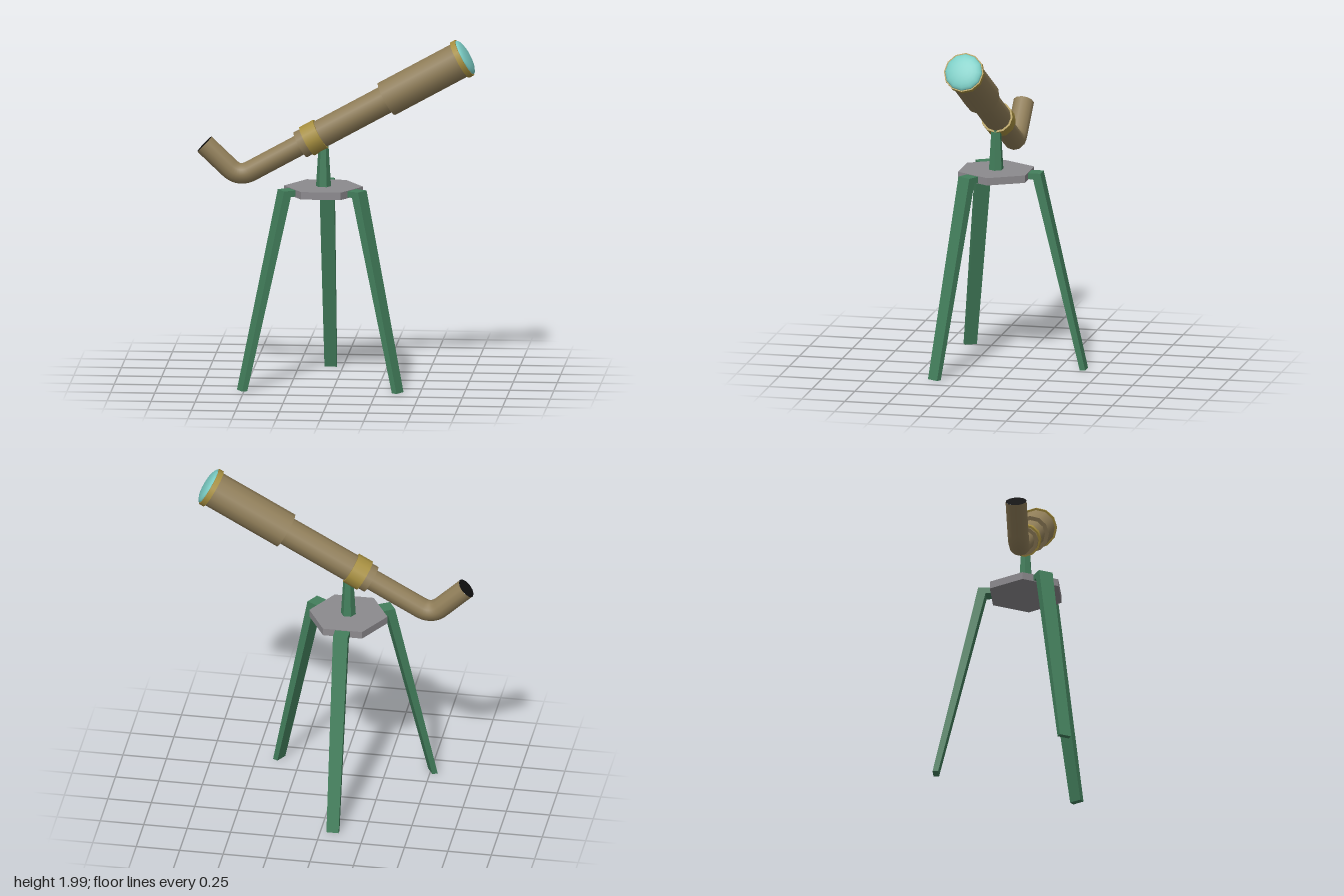
import * as THREE from 'three';

const paint = (name, color) => {
  const m = new THREE.MeshStandardMaterial({ color });
  m.name = name;
  return m;
};

// Hard-edged version of a geometry
function faceted(geometry) {
  const g = geometry.index ? geometry.toNonIndexed() : geometry;
  g.computeVertexNormals();
  return g;
}

export function createModel() {
  const brown = paint('brown', 0x8f7d58);
  const brass = paint('brass', 0xa89040);
  const green = paint('green', 0x437f5c);
  const grey = paint('grey', 0x8c8a8e);
  const teal = paint('teal', 0x7accc4);
  const black = paint('black', 0x101010);

  const model = new THREE.Group();
  model.name = 'telescope';
  const add = (parent, name, geometry, material) => {
    const mesh = new THREE.Mesh(geometry, material);
    mesh.name = name;
    parent.add(mesh);
    return mesh;
  };

  // Tripod, centred under the tube
  const tripod = new THREE.Group();
  tripod.name = 'tripod';
  tripod.position.set(-0.07, 0, 0.12);
  model.add(tripod);

  const hexagon = (top, bottom, height) =>
    faceted(new THREE.CylinderGeometry(top, bottom, height, 6, 1, false, Math.PI / 2));
  add(tripod, 'plate', hexagon(0.225, 0.225, 0.043), grey).position.y = 1.1165;
  add(tripod, 'post', hexagon(0.027, 0.043, 0.26), green).position.y = 1.265;

  // Leg: bent side profile, extruded and narrowed toward the foot
  const profile = new THREE.Shape([
    [0.17, 1.1], [0.225, 1.1], [0.495, 0], [0.527, 0], [0.267, 1.135], [0.17, 1.135],
  ].map(([r, y]) => new THREE.Vector2(r, y)));
  const leg = new THREE.ExtrudeGeometry(profile, { depth: 1, bevelEnabled: false });
  const p = leg.attributes.position;
  for (let i = 0; i < p.count; i++) {
    p.setZ(i, (p.getZ(i) - 0.5) * (0.07 + 0.015 * p.getY(i) / 1.135));
  }
  const legGeometry = faceted(leg);
  [['leftLeg', 30], ['rightLeg', 150], ['backLeg', 270]].forEach(([name, degrees]) => {
    add(tripod, name, legGeometry, green).rotation.y = -THREE.MathUtils.degToRad(degrees);
  });

  // Straight tube: local +y runs toward the lens
  const tilt = THREE.MathUtils.degToRad(29);
  const tube = new THREE.Group();
  tube.name = 'tube';
  tube.position.set(0.725, 1.888, 0.12);
  tube.rotation.z = tilt - Math.PI / 2;
  model.add(tube);

  const section = (name, radius, from, to, material) => {
    add(tube, name, new THREE.CylinderGeometry(radius, radius, to - from, 12), material)
      .position.y = (from + to) / 2;
  };
  section('mainTube', 0.081, -1.06, -0.49, brown);
  section('frontTube', 0.104, -0.5, -0.02, brown);
  section('clampRing', 0.092, -1.017, -0.927, brass);
  section('lensRim', 0.115, -0.023, 0.008, brass);

  const dome = new THREE.SphereGeometry(0.108, 12, 6, 0, Math.PI * 2, 0, Math.PI / 2);
  dome.scale(1, 0.28, 1);
  add(tube, 'lens', dome, teal).position.y = 0.0085;

  // Eyepiece: thinner pipe with a rounded elbow
  const end = new THREE.Vector3(-0.748, 1.37, 0.12);
  const corner = new THREE.Vector3(-0.55, 1.182, 0.12);
  const axis = new THREE.Vector3(Math.cos(tilt), Math.sin(tilt), 0);
  const back = end.clone().sub(corner).normalize();
  const bendIn = corner.clone().addScaledVector(back, 0.075);
  const bendOut = corner.clone().addScaledVector(axis, 0.075);
  const path = new THREE.CurvePath();
  path.add(new THREE.LineCurve3(end, bendIn));
  path.add(new THREE.QuadraticBezierCurve3(bendIn, corner, bendOut));
  path.add(new THREE.LineCurve3(bendOut, corner.clone().addScaledVector(axis, 0.46)));
  add(model, 'eyepiece', new THREE.TubeGeometry(path, 40, 0.06, 12), brown);

  const cap = add(model, 'eyepieceOpening', new THREE.CircleGeometry(0.06, 12), black);
  cap.position.copy(end);
  cap.quaternion.setFromUnitVectors(new THREE.Vector3(0, 0, 1), back);

  return model;
}
